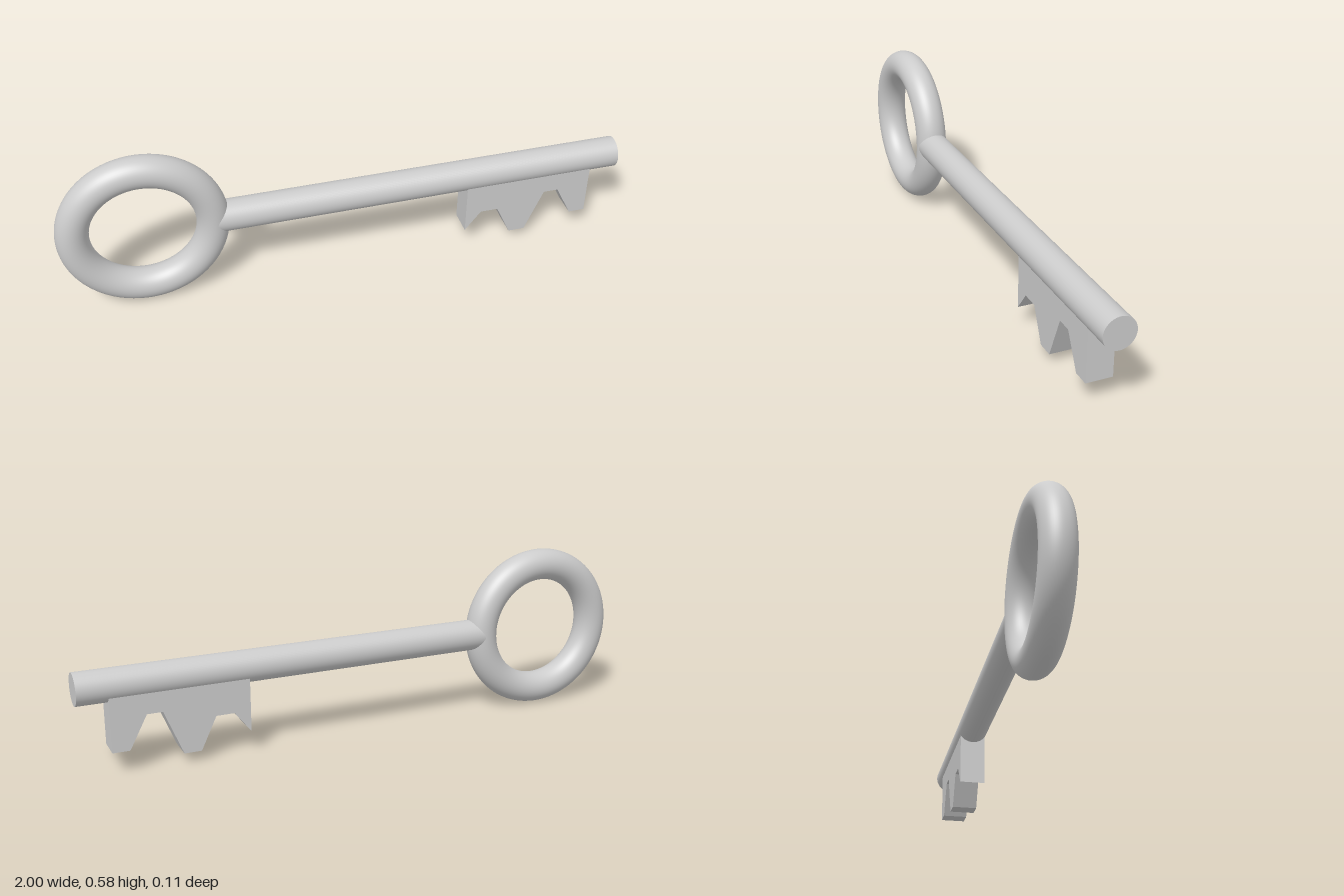
import * as THREE from 'three';

const AXIS_Y = 0.2915; // height of the shaft axis and ring centre

export function createModel() {
  const key = new THREE.Group();
  key.name = 'key';
  const material = new THREE.MeshStandardMaterial({ color: 0xcccccc });

  const add = (name, geometry, x, y, z) => {
    const mesh = new THREE.Mesh(geometry, material);
    mesh.name = name;
    mesh.position.set(x, y, z);
    key.add(mesh);
  };

  // Round ring handle
  add('bow', new THREE.TorusGeometry(0.2355, 0.056, 48, 128), -0.7085, AXIS_Y, 0);

  // Shaft, starting inside the ring's tube and ending in a flat tip
  const start = -0.473, end = 1;
  const shaft = new THREE.CylinderGeometry(0.055, 0.055, end - start, 64).rotateZ(-Math.PI / 2);
  add('shaft', shaft, (start + end) / 2, AXIS_Y, 0);

  // Toothed bit hanging under the shaft, its top buried in it
  const profile = [
    [0.43, 0.285], [0.43, 0.075], [0.487, 0.148], [0.55, 0.148], [0.604, 0.034], [0.663, 0.034],
    [0.727, 0.19], [0.78, 0.19], [0.84, 0.075], [0.898, 0.075], [0.898, 0.285],
  ].map(([x, y]) => new THREE.Vector2(x, y));
  const depth = 0.091;
  const bit = new THREE.ExtrudeGeometry(new THREE.Shape(profile), { depth, bevelEnabled: false });
  add('bit', bit, 0, 0, -depth / 2);

  return key;
}
